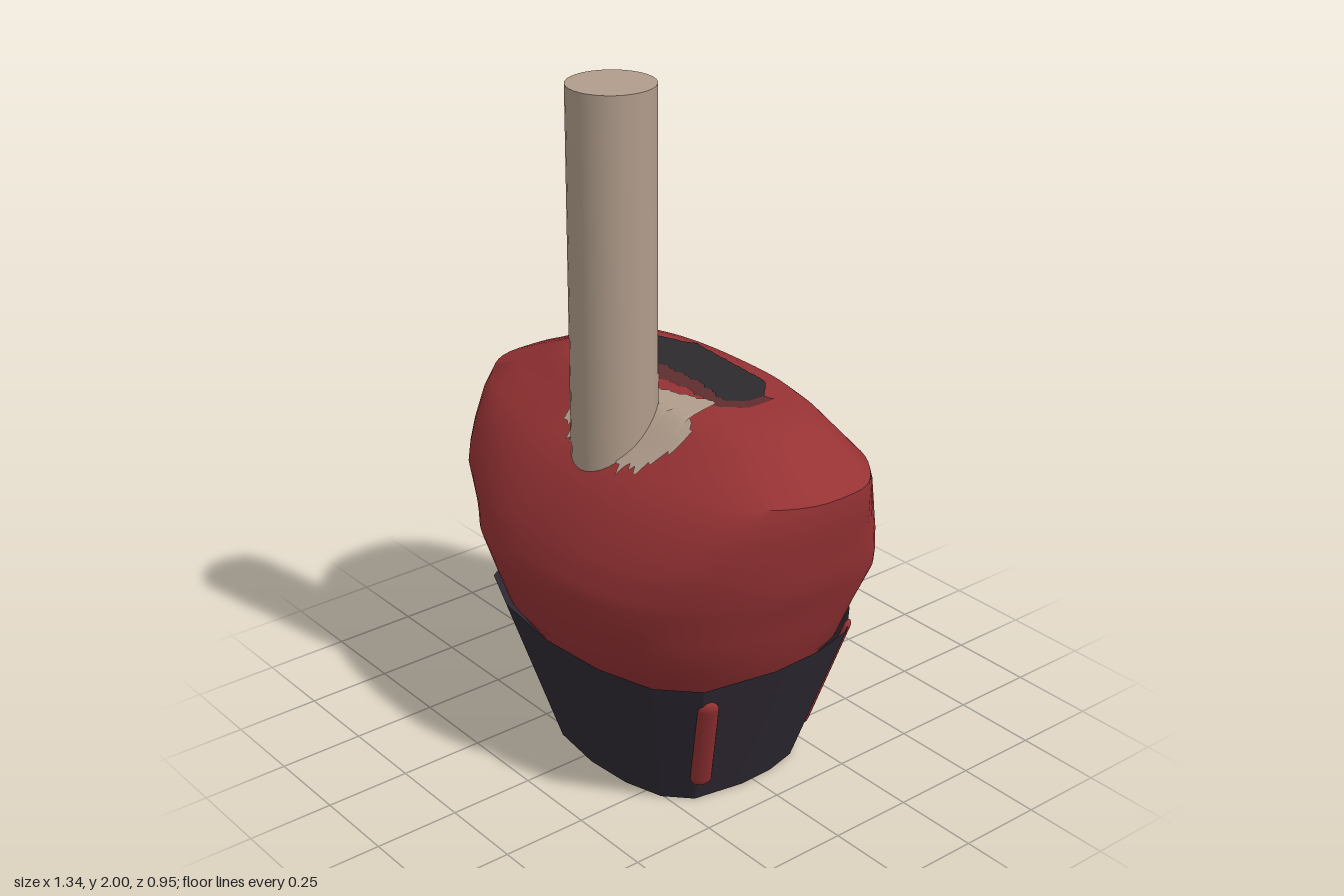
import * as THREE from 'three';
import { toCreasedNormals } from 'three/addons/utils/BufferGeometryUtils.js';

const RED = 0x963234, FADED = 0x5e2d30, DARK = 0x2f2933, WOOD = 0xb09c8b, SOOT = 0x2c2a2c;

const mat = (color, side = THREE.FrontSide) => new THREE.MeshStandardMaterial({ color, side });

function addMesh(group, name, geometry, material) {
  const mesh = new THREE.Mesh(geometry, material);
  mesh.name = name;
  group.add(mesh);
  return mesh;
}

// Skin a stack of equally long point rows; closed rows wrap around
function loft(rows, closed = true) {
  const n = rows[0].length, index = [];
  for (let i = 0; i < rows.length - 1; i++) {
    for (let j = 0; j < (closed ? n : n - 1); j++) {
      const k = (j + 1) % n;
      const a = i * n + j, b = i * n + k, c = a + n, d = b + n;
      index.push(a, c, b, b, c, d);
    }
  }
  const geo = new THREE.BufferGeometry().setFromPoints(rows.flat());
  geo.setIndex(index);
  geo.computeVertexNormals();
  return geo;
}

// Piecewise linear lookup in [x, value] pairs
function lookup(pairs, x) {
  for (let i = 1; i < pairs.length; i++) {
    const [x0, v0] = pairs[i - 1], [x1, v1] = pairs[i];
    if (x <= x1) return v0 + (v1 - v0) * (x - x0) / (x1 - x0);
  }
  return pairs[pairs.length - 1][1];
}

// Red lump: [y, xMin, xMax, zMin, zMax, squareness, extra squareness off the front left corner]
const BODY = [
  [0.30, -0.33, 0.43, -0.30, 0.32, 2, 0.3],
  [0.45, -0.445, 0.535, -0.37, 0.42, 2.1, 0.5],
  [0.56, -0.465, 0.565, -0.40, 0.448, 2.1, 0.7],
  [0.66, -0.505, 0.605, -0.43, 0.475, 2.1, 0.8],
  [0.70, -0.535, 0.62, -0.42, 0.465, 2.15, 0.7],
  [0.74, -0.575, 0.63, -0.41, 0.455, 2.2, 0.6],
  [0.78, -0.62, 0.638, -0.40, 0.44, 2.3, 0.5],
  [0.82, -0.64, 0.645, -0.39, 0.42, 2.35, 0.4],
  [0.88, -0.655, 0.66, -0.37, 0.39, 2.4, 0.3],
  [0.95, -0.67, 0.67, -0.345, 0.335, 2.45, 0.3],
  [0.985, -0.67, 0.67, -0.33, 0.295, 2.45, 0.3],
  [1.03, -0.57, 0.58, -0.31, 0.24, 2.4, 0.3],
  [1.07, -0.48, 0.50, -0.29, 0.195, 2.4, 0.2],
  [1.10, -0.42, 0.42, -0.262, 0.16, 2.4, 0.2],
  [1.11, -0.38, 0.38, -0.235, 0.14, 2.4, 0.2],
];

function bodyGeometry() {
  const cx = 0.02, cz = -0.04, n = 72;
  const rows = BODY.map(([y, x0, x1, z0, z1, square, extra]) => Array.from({ length: n }, (_, j) => {
    const a = j / n * Math.PI * 2, c = Math.cos(a), s = Math.sin(a);
    const p = c > 0 && s > 0 ? square : square + extra;
    const lump = y > 0.5 && y < 1 ? 1 + 0.008 * Math.sin(8 * a + 9 * y) * Math.abs(Math.sin(2 * a)) : 1;
    const rx = (c > 0 ? x1 - cx : cx - x0) * lump, rz = (s > 0 ? z1 - cz : cz - z0) * lump;
    return new THREE.Vector3(
      cx + Math.sign(c) * rx * Math.abs(c) ** (2 / p), y,
      cz + Math.sign(s) * rz * Math.abs(s) ** (2 / p));
  }));
  const cap = y => Array.from({ length: n }, () => new THREE.Vector3(cx, y, cz));
  return toCreasedNormals(loft([cap(0.3), ...rows, cap(1.11)]), 0.7);
}

// Uneven outline of the cup rim, [x, z]
const RIM = [
  [0.01, -0.475], [-0.08, -0.445], [-0.2, -0.41], [-0.34, -0.345], [-0.42, -0.25], [-0.455, -0.08],
  [-0.46, 0.08], [-0.435, 0.24], [-0.37, 0.34], [-0.21, 0.41], [0.03, 0.44], [0.24, 0.425],
  [0.41, 0.375], [0.51, 0.28], [0.55, 0.06], [0.545, -0.1], [0.51, -0.24], [0.42, -0.335],
  [0.2, -0.42], [0.1, -0.445],
].reverse();

function cupGeometry() {
  const ring = (scale, y) => RIM.map(([x, z]) =>
    new THREE.Vector3(0.05 + (x - 0.05) * scale, y, -0.01 + (z + 0.01) * scale));
  return toCreasedNormals(loft([ring(0, 0), ring(0.69, 0), ring(1, 0.45)]), 0.35);
}

// Distance from the cup axis to the rim in a given direction
function rimRadius(angle) {
  const dx = Math.cos(angle), dz = Math.sin(angle);
  for (let i = 0; i < RIM.length; i++) {
    const [ax, az] = RIM[i], [bx, bz] = RIM[(i + 1) % RIM.length];
    const px = ax - 0.05, pz = az + 0.01, ex = bx - ax, ez = bz - az;
    const det = ex * dz - ez * dx;
    const r = (ex * pz - ez * px) / det, t = (dx * pz - dz * px) / det;
    if (r > 0 && t >= 0 && t <= 1) return r;
  }
  return 0.48;
}

// Flattened drop running down the cup wall
function addDrip(group, angle, yTop, yBottom, width) {
  const at = y => {
    const r = rimRadius(angle) * (0.69 + 0.31 * y / 0.45);
    return new THREE.Vector3(0.05 + Math.cos(angle) * r, y, -0.01 + Math.sin(angle) * r);
  };
  const top = at(yTop), bottom = at(yBottom);
  const up = top.clone().sub(bottom), length = up.length();
  up.normalize();
  const across = new THREE.Vector3(Math.sin(angle), 0, -Math.cos(angle));
  const out = across.clone().cross(up);
  const drip = addMesh(group, 'drip', new THREE.CapsuleGeometry(width / 2, length - width, 6, 14), mat(RED));
  drip.scale.z = 0.5;
  drip.quaternion.setFromRotationMatrix(new THREE.Matrix4().makeBasis(across, up, out));
  drip.position.copy(top).add(bottom).multiplyScalar(0.5);
}

// Thin ragged stain laid over the body between a back and a front edge
function stainGeometry(body, back, front, ragged, lift) {
  const cols = 48, steps = 12, ray = new THREE.Raycaster();
  const down = new THREE.Vector3(0, -1, 0);
  const x0 = back[0][0], x1 = back[back.length - 1][0];
  const rows = [];
  for (let i = 0; i <= cols; i++) {
    const x = x0 + (x1 - x0) * i / cols;
    const jag = ragged * (Math.sin(i * 2.3) + Math.sin(i * 1.1));
    const za = lookup(back, x) + jag * 0.3, zb = lookup(front, x) + jag;
    rows.push(Array.from({ length: steps + 1 }, (_, j) => {
      const z = za + (zb - za) * j / steps;
      ray.set(new THREE.Vector3(x, 3, z), down);
      const hit = ray.intersectObject(body)[0];
      return new THREE.Vector3(x, (hit ? hit.point.y : 1.11) + lift, z);
    }));
  }
  return loft(rows, false);
}

export function createModel() {
  const model = new THREE.Group();
  model.name = 'dippedTreat';

  // Cup and filling
  addMesh(model, 'cup', cupGeometry(), mat(DARK, THREE.DoubleSide));
  const body = addMesh(model, 'coatedBody', bodyGeometry(), mat(RED));

  // Stick
  const stick = addMesh(model, 'stick', new THREE.CylinderGeometry(0.119, 0.119, 1.1, 32), mat(WOOD));
  stick.position.set(0.05, 1.45, 0.215);

  // Stains on the flat top and around the stick: name, colour, back edge, front edge, raggedness, lift
  [
    ['fadedStain', FADED,
      [[-0.33, -0.06], [-0.2, -0.1], [0.2, -0.1], [0.3, -0.14]],
      [[-0.33, -0.01], [-0.27, 0.04], [-0.12, 0.03], [0.1, 0.0], [0.24, 0.02], [0.3, -0.05]], 0.004, 0.002],
    ['darkStain', SOOT,
      [[-0.31, -0.15], [-0.25, -0.17], [-0.16, -0.2], [-0.13, -0.22], [0.2, -0.195], [0.27, -0.13]],
      [[-0.31, -0.06], [-0.26, 0.035], [-0.12, -0.05], [0.1, -0.05], [0.23, -0.02], [0.27, -0.08]], 0.004, 0.004],
    ['paleStain', WOOD,
      [[-0.18, 0.13], [-0.08, 0.1], [0.1, 0.05], [0.23, 0.0], [0.25, 0.12], [0.29, 0.14]],
      [[-0.18, 0.17], [-0.13, 0.24], [-0.05, 0.29], [0.14, 0.29], [0.2, 0.29], [0.25, 0.26], [0.29, 0.17]],
      0.012, 0.006],
  ].forEach(([name, color, back, front, ragged, lift]) =>
    addMesh(model, name, stainGeometry(body, back, front, ragged, lift), mat(color, THREE.DoubleSide)));

  // Drips: angle around the cup, top, bottom, width
  [
    [0.53, 0.40, 0.06, 0.06],
    [-0.54, 0.46, 0.10, 0.04],
    [2.85, 0.45, 0.16, 0.05],
    [3.45, 0.46, 0.10, 0.05],
  ].forEach(d => addDrip(model, ...d));

  return model;
}
